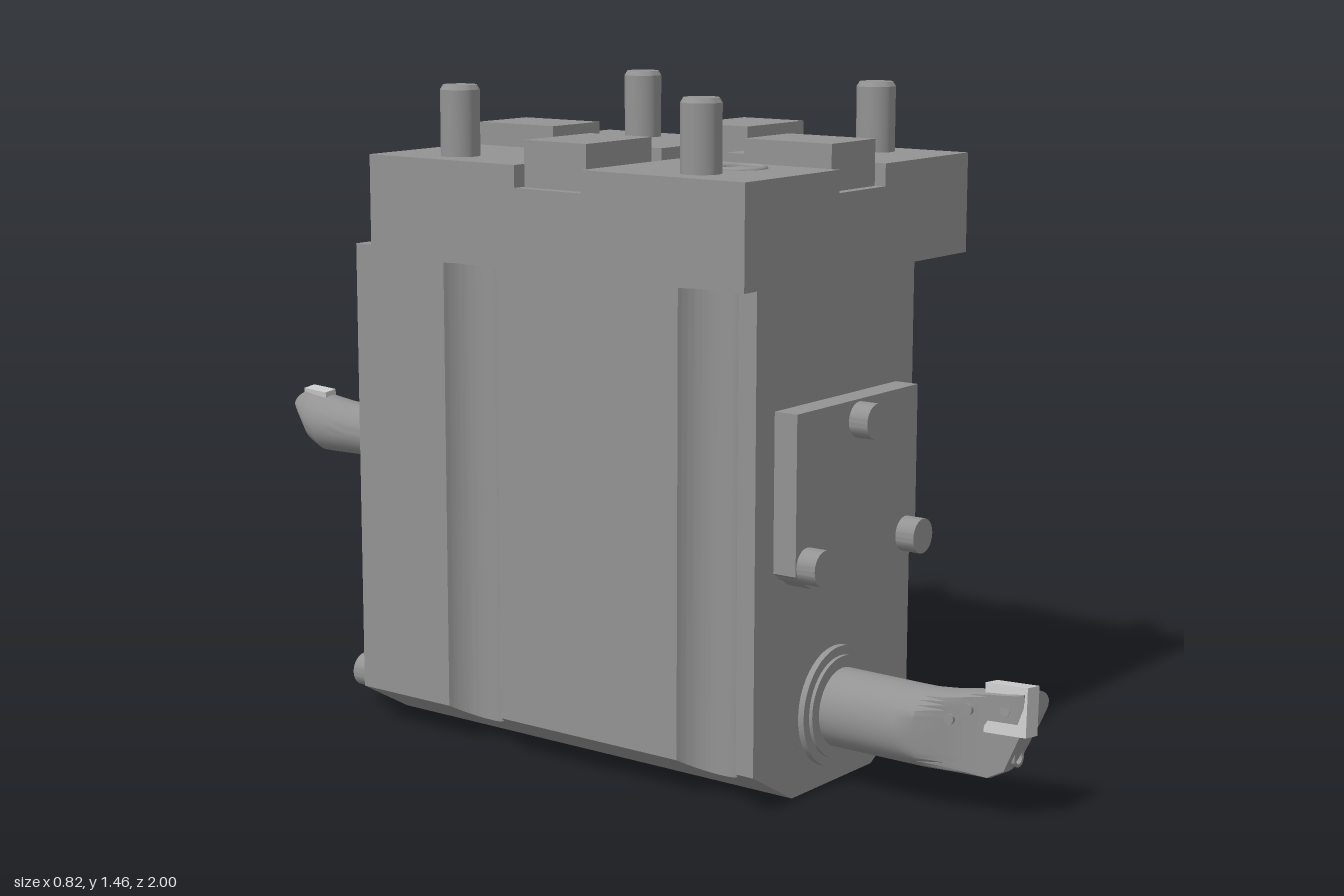
import * as THREE from 'three';
import { toCreasedNormals } from 'three/addons/utils/BufferGeometryUtils.js';

const steel = new THREE.MeshStandardMaterial({ color: 0x939393 });
const carbide = new THREE.MeshStandardMaterial({ color: 0xcccccc });

function add(parent, name, geometry, x = 0, y = 0, z = 0, material = steel) {
  const mesh = new THREE.Mesh(geometry, material);
  mesh.name = name;
  mesh.position.set(x, y, z);
  parent.add(mesh);
  return mesh;
}

// Box given by its limits on each axis
function block(parent, name, [x0, x1], [y0, y1], [z0, z1]) {
  return add(parent, name, new THREE.BoxGeometry(x1 - x0, y1 - y0, z1 - z0),
    (x0 + x1) / 2, (y0 + y1) / 2, (z0 + z1) / 2);
}

// Turned part along +y from [radius, height] pairs
function turned(profile, sides = 32) {
  const points = profile.map(([r, h]) => new THREE.Vector2(r, h));
  return toCreasedNormals(new THREE.LatheGeometry(points, sides), 0.5);
}

// Turned part along +z
const turnedZ = (profile, sides) => turned(profile, sides).rotateX(Math.PI / 2);

const boltX = 0.315, boltZ = [0.405, -0.23];

// Side of the housing with vertical scallops and a sloping underside
function housingSide() {
  const r = 0.08, t = Math.acos((boltX - 0.29) / r);
  const shape = new THREE.Shape();
  shape.moveTo(0.15, -0.525);
  shape.lineTo(0.29, -0.525);
  for (const z of boltZ) shape.absarc(boltX, -z, r, Math.PI + t, Math.PI - t, true);
  shape.lineTo(0.29, 0.565);
  shape.lineTo(0.15, 0.565);
  shape.closePath();
  const geometry = new THREE.ExtrudeGeometry(shape, { depth: 1.097, bevelEnabled: false, curveSegments: 24 })
    .rotateX(-Math.PI / 2);
  const p = geometry.attributes.position;
  for (let i = 0; i < p.count; i++) {
    if (p.getY(i) < 0.001) p.setY(i, (p.getX(i) - 0.15) * 0.08 / 0.14);
  }
  return toCreasedNormals(geometry, 0.5);
}

// Cover plate with three cap screws, its back on z = 0
function cover() {
  const group = new THREE.Group();
  const shape = new THREE.Shape([[-0.17, 0], [0.17, 0], [0.225, 0.035], [0.225, 0.37], [-0.225, 0.37], [-0.225, 0.035]]
    .map(([x, y]) => new THREE.Vector2(x, y)));
  add(group, 'coverPlate', new THREE.ExtrudeGeometry(shape, { depth: 0.055, bevelEnabled: false }));
  const screw = turnedZ([[0.038, 0], [0.038, 0.1], [0, 0.1]], 24);
  for (const [x, y] of [[0, 0.327], [-0.185, 0.052], [0.185, 0.052]]) add(group, 'coverScrew', screw, x, y, 0);
  return group;
}

// Boring bar pointing along +z, with an offset half-round head and a cutting insert
function boringBar(r, length) {
  const group = new THREE.Group();
  const sides = 40, head = length / r;
  // [z, left limit, right edge, bottom, top] in shank radii
  const sections = [
    [0, -1, 1, -1, 1], [head - 3.2, -1, 1, -1, 0.98], [head - 2.7, -0.85, 1, -1, 0.98],
    [head - 2.1, -0.4, 1.08, -1, 1.02], [head - 1.6, -0.25, 1.13, -1, 1.1],
    [head - 1.06, -0.15, 1.13, -1, 1.18], [head - 0.6, -0.15, 1.13, -0.75, 1.22],
    [head - 0.25, -0.15, 1.12, 0.05, 1.26], [head - 0.12, -0.1, 1.1, 0.4, 1.28]];
  const position = [], index = [];
  for (const [z, left, right, low, high] of sections) {
    for (let i = 0; i < sides; i++) {
      const a = i / sides * Math.PI * 2;
      position.push(r * Math.max(left, right - 1 + Math.cos(a)),
        r * ((low + high) / 2 + (high - low) / 2 * Math.sin(a)), r * z);
    }
  }
  for (let s = 0; s < sections.length - 1; s++) {
    for (let i = 0; i < sides; i++) {
      const a = s * sides + i, b = s * sides + (i + 1) % sides;
      index.push(a, b, b + sides, a, b + sides, a + sides);
    }
  }
  const last = (sections.length - 1) * sides;
  for (let i = 1; i < sides - 1; i++) index.push(last, last + i, last + i + 1);
  const geometry = new THREE.BufferGeometry();
  geometry.setAttribute('position', new THREE.Float32BufferAttribute(position, 3));
  geometry.setIndex(index);
  add(group, 'barShank', toCreasedNormals(geometry, 0.6));

  // Screws on the flat and a nozzle on the nose
  const screw = turned([[0.14 * r, 0], [0.14 * r, 0.1 * r], [0, 0.1 * r]], 20).rotateZ(Math.PI / 2);
  add(group, 'clampScrew', screw, -0.32 * r, 0.4 * r, length - 2.0 * r);
  add(group, 'clampScrew', screw, -0.22 * r, 0.7 * r, length - 1.55 * r);
  const nozzle = turnedZ([[0.23 * r, 0], [0.23 * r, 0.5 * r], [0.15 * r, 0.5 * r], [0.15 * r, 0.3 * r], [0, 0.3 * r]], 20);
  add(group, 'nozzle', nozzle, 0.24 * r, -0.42 * r, length - 0.9 * r);

  // Insert seated in the flat of the head, with its own screw
  const insert = new THREE.Group();
  insert.name = 'insert';
  add(insert, 'insertPlate', new THREE.BoxGeometry(0.55 * r, 1.2 * r, 1.15 * r), 0, 0, 0, carbide);
  add(insert, 'insertScrew', screw, -0.22 * r, 0, 0);
  insert.position.set(0.16 * r, 0.78 * r, length - 0.6 * r);
  insert.rotation.set(-0.05, 0, -0.12);
  group.add(insert);
  return group;
}

export function createModel() {
  const model = new THREE.Group();
  model.name = 'boringHead';

  // Housing
  const housing = new THREE.Group();
  housing.name = 'housing';
  model.add(housing);
  block(housing, 'housingCore', [-0.15, 0.15], [0, 1.097], [-0.565, 0.525]);
  const side = housingSide();
  add(housing, 'housingLeft', side);
  add(housing, 'housingRight', side).scale.x = -1;

  // Mounting flange: plate with four pads leaving a cross slot
  const flange = new THREE.Group();
  flange.name = 'flange';
  model.add(flange);
  block(flange, 'flangePlate', [-0.41, 0.41], [1.097, 1.265], [-0.405, 0.58]);
  for (const x of [[0.085, 0.41], [-0.41, -0.085]]) {
    for (const z of [[0.175, 0.58], [-0.405, 0]]) block(flange, 'flangePad', x, [1.265, 1.312], z);
  }

  // Keys in the cross slot
  const keyY = [1.265, 1.362];
  block(flange, 'frontKey', [-0.08, 0.08], keyY, [0.34, 0.557]);
  block(flange, 'backKey', [-0.08, 0.08], keyY, [-0.382, -0.17]);
  block(flange, 'leftKey', [0.17, 0.385], keyY, [0.006, 0.169]);
  block(flange, 'rightKey', [-0.385, -0.17], keyY, [0.006, 0.169]);

  // Mounting bolts with their heads under the flange, and port seal rings
  const bolt = turned([[0, 1.092], [0.075, 1.092], [0.075, 1.12], [0.042, 1.12], [0.042, 1.452], [0.036, 1.462], [0, 1.462]]);
  const ring = new THREE.TorusGeometry(0.0485, 0.007, 10, 40).rotateX(Math.PI / 2);
  for (const z of boltZ) {
    for (const s of [-1, 1]) add(flange, 'mountingBolt', bolt, s * boltX, 0, z);
    add(flange, 'portRing', ring, z > 0 ? -0.18 : 0.18, 1.311, z);
  }

  // Front and back faces: cover, collar and boring bar on each
  const collar = turnedZ([[0.13, 0], [0.13, 0.014], [0.11, 0.014], [0.11, 0.022], [0, 0.022]], 48);
  const faces = [
    { name: 'front', z: 0.525, turn: 0, coverY: 0.463, axisY: 0.168, r: 0.085 },
    { name: 'back', z: -0.565, turn: Math.PI, coverY: 0.028, axisY: 0.603, r: 0.062 }];
  for (const f of faces) {
    const face = new THREE.Group();
    face.name = f.name + 'Face';
    face.position.z = f.z;
    face.rotation.y = f.turn;
    const plate = cover();
    plate.name = f.name + 'Cover';
    plate.position.y = f.coverY;
    add(face, f.name + 'Collar', collar, 0, f.axisY, 0);
    const bar = boringBar(f.r, 1 - Math.abs(f.z));
    bar.name = f.name + 'BoringBar';
    bar.position.y = f.axisY;
    face.add(plate, bar);
    model.add(face);
  }

  // Small pins above the back collar
  const pin = turnedZ([[0.028, 0], [0.028, 0.006], [0, 0.006]], 24).rotateY(Math.PI);
  for (const s of [-1, 1]) add(model, 'backPin', pin, s * 0.15, 0.765, -0.565);

  return model;
}
